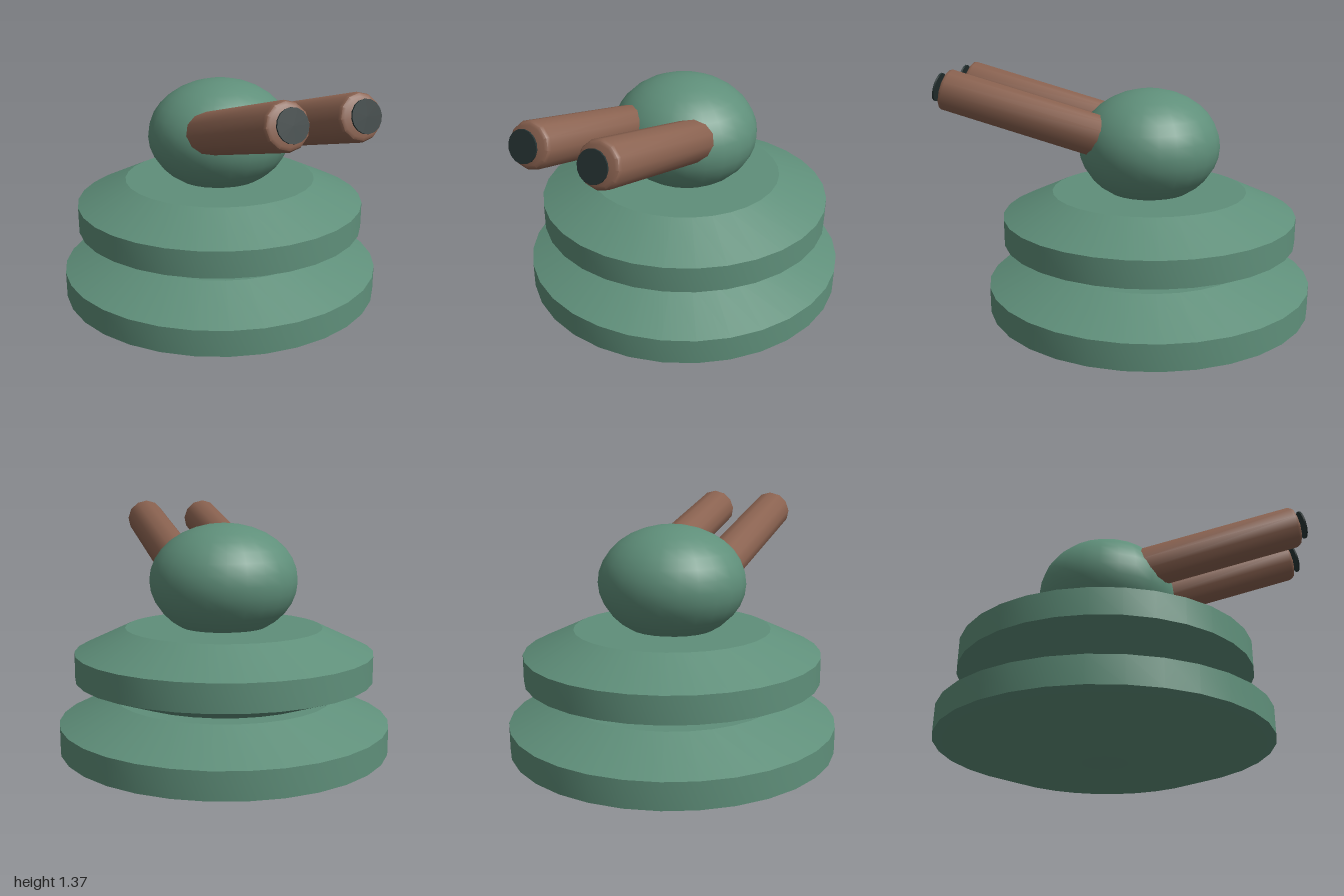
import * as THREE from 'three';
import { toCreasedNormals } from 'three/addons/utils/BufferGeometryUtils.js';

const material = (name, color) => {
  const m = new THREE.MeshStandardMaterial({ color });
  m.name = name;
  return m;
};

// Turned solid with sharp rims and smooth sides
function turned(points, segments, crease) {
  const profile = points.map(([r, y]) => new THREE.Vector2(r, y));
  return toCreasedNormals(new THREE.LatheGeometry(profile, segments), crease);
}

export function createModel() {
  const green = material('armourGreen', 0x5f8f7a);
  const brown = material('barrelBrown', 0x8a6250);
  const dark = material('muzzleDark', 0x263333);
  const model = new THREE.Group();
  model.name = 'twinBarrelTurret';

  const add = (parent, name, geometry, mat) => {
    const mesh = new THREE.Mesh(geometry, mat);
    mesh.name = name;
    parent.add(mesh);
    return mesh;
  };

  // Body sits slightly behind the origin
  const body = new THREE.Group();
  body.name = 'body';
  body.position.z = -0.12;
  model.add(body);

  // Two stacked bevelled discs
  const disc = (name, y, rBottom, rSide, rTop) => {
    const profile = [[0, 0], [rBottom, 0], [rSide, 0.088], [rSide, 0.228], [rTop, 0.352], [0, 0.352]];
    add(body, name, turned(profile, 32, 0.35), green).position.y = y;
  };
  disc('lowerDisc', 0, 0.62, 0.88, 0.585);
  disc('upperDisc', 0.373, 0.555, 0.792, 0.525);

  // Flattened dome
  const dome = add(body, 'dome', new THREE.SphereGeometry(1, 24, 16), green);
  dome.scale.set(0.395, 0.302, 0.378);
  dome.position.y = 0.97;

  // Pair of raised barrels, each with a dark disc floating at the muzzle
  const barrelGeometry = turned(
    [[0, -0.93], [0.112, -0.93], [0.112, -0.022], [0.105, -0.006], [0.09, 0], [0, 0]], 12, 0.8);
  const muzzleGeometry = new THREE.CylinderGeometry(0.077, 0.077, 0.009, 16);
  for (const [side, name] of [[1, 'left'], [-1, 'right']]) {
    const gun = new THREE.Group();
    gun.name = name + 'Gun';
    gun.position.set(side * 0.184, 1.273, 0.941);
    gun.rotation.x = Math.PI / 2 - 0.272;
    add(gun, name + 'Barrel', barrelGeometry, brown);
    add(gun, name + 'Muzzle', muzzleGeometry, dark).position.y = 0.034;
    model.add(gun);
  }
  return model;
}
